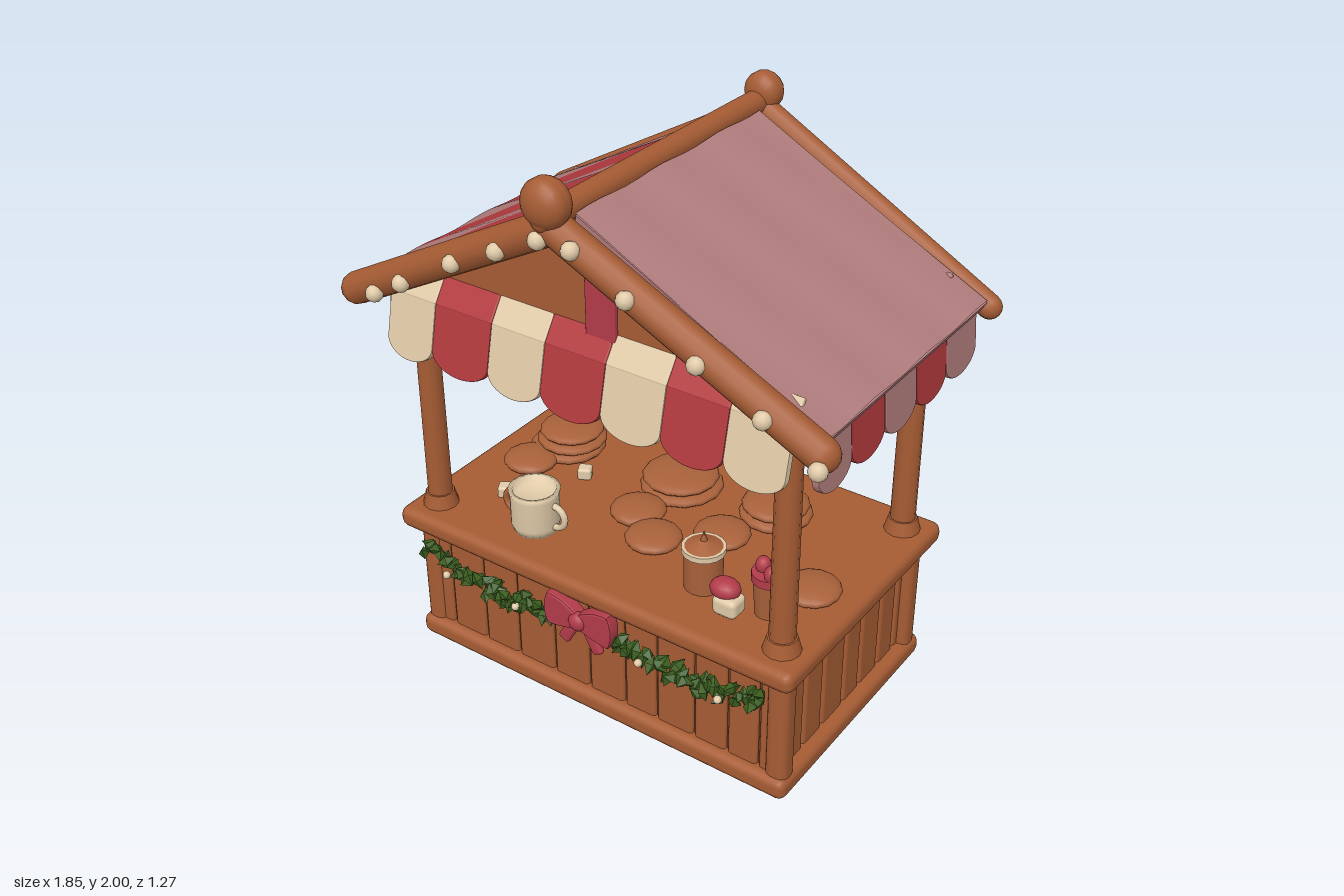
import * as THREE from 'three';
import { RoundedBoxGeometry } from 'three/addons/geometries/RoundedBoxGeometry.js';
import { ParametricGeometry } from 'three/addons/geometries/ParametricGeometry.js';

const paint = (name, color, side = THREE.FrontSide) => {
  const m = new THREE.MeshStandardMaterial({ color, side });
  m.name = name;
  return m;
};

export function createModel() {
  const root = new THREE.Group();
  root.name = 'marketStall';
  const wood = paint('wood', 0xa65c34), gap = paint('plankGap', 0x6b3a20);
  const red = paint('redCloth', 0xb23a3e, THREE.DoubleSide), mauve = paint('mauveCloth', 0xb07c7c, THREE.DoubleSide);
  const cream = paint('cream', 0xe0caa8), ribbon = paint('ribbon', 0xb23c4a);
  const green = paint('leaf', 0x3b5e1f), bread = paint('bread', 0xa8613a);
  let seed = 7;
  const rand = () => (seed = (seed * 16807) % 2147483647) / 2147483647;

  const add = (name, geo, mat, x = 0, y = 0, z = 0, parent = root) => {
    const m = new THREE.Mesh(geo, mat);
    m.name = name;
    m.position.set(x, y, z);
    parent.add(m);
    return m;
  };
  const box = (name, w, h, d, mat, x, y, z, r = 0.015, parent = root) =>
    add(name, new RoundedBoxGeometry(w, h, d, 2, Math.min(r, w / 2.1, h / 2.1, d / 2.1)), mat, x, y, z, parent);
  const ball = (name, r, mat, x, y, z, sx = 1, sy = 1, sz = 1, parent = root) => {
    const m = add(name, new THREE.SphereGeometry(r, 14, 10), mat, x, y, z, parent);
    m.scale.set(sx, sy, sz);
    return m;
  };
  // Round-ended log between two points
  const log = (name, a, b, r, mat = wood) => {
    const p = new THREE.Vector3(...a), q = new THREE.Vector3(...b), d = q.clone().sub(p);
    const m = add(name, new THREE.CapsuleGeometry(r, d.length(), 4, 12), mat);
    m.position.copy(p).add(q).multiplyScalar(0.5);
    m.quaternion.setFromUnitVectors(new THREE.Vector3(0, 1, 0), d.normalize());
    return m;
  };

  // Counter body with planks of uneven width
  const zc = 0.04;
  box('counterCore', 1.42, 0.5, 0.84, gap, 0, 0.27, zc);
  const planks = (cuts, place) => {
    for (let i = 0; i < cuts.length - 1; i++) place((cuts[i] + cuts[i + 1]) / 2, cuts[i + 1] - cuts[i] - 0.008);
  };
  const frontCuts = [-0.7, -0.64, -0.49, -0.34, -0.18, -0.03, 0.12, 0.25, 0.4, 0.53, 0.65, 0.7];
  const sideCuts = [-0.36, -0.3, -0.19, -0.06, 0.05, 0.19, 0.31, 0.4, 0.45];
  for (const s of [1, -1]) {
    planks(frontCuts, (c, w) => box('plank', w, 0.46, 0.03, wood, c, 0.27, zc + s * 0.42));
    planks(sideCuts, (c, w) => box('sidePlank', 0.03, 0.46, w, wood, s * 0.71, 0.27, c));
    box('baseRail', 1.54, 0.08, 0.09, wood, 0, 0.04, zc + s * 0.425, 0.03);
    box('baseSideRail', 0.09, 0.08, 0.94, wood, s * 0.725, 0.04, zc, 0.03);
    box('counterRail', 1.6, 0.08, 0.09, wood, 0, 0.52, zc + s * 0.46, 0.033);
    box('counterSideRail', 0.09, 0.08, 1.01, wood, s * 0.755, 0.52, zc, 0.033);
    // Corner posts with collars
    for (const z of [0.43, -0.35]) {
      add('post', new THREE.CylinderGeometry(0.041, 0.044, 0.96, 12), wood, s * 0.7, 0.98, z);
      box('cornerPost', 0.08, 0.46, 0.08, wood, s * 0.72, 0.27, zc + Math.sign(z) * 0.41, 0.03);
      add('postCollar', new THREE.CylinderGeometry(0.05, 0.066, 0.06, 12), wood, s * 0.7, 0.58, z);
    }
  }
  box('counterTop', 1.54, 0.06, 0.95, wood, 0, 0.53, zc);
  box('floor', 1.48, 0.04, 0.9, wood, 0, 0.024, zc);

  // Gable prism with flat ceiling
  const gable = new THREE.Shape([[-0.81, 1.4], [0.81, 1.4], [-0.02, 1.84]].map(p => new THREE.Vector2(...p)));
  add('gable', new THREE.ExtrudeGeometry(gable, { depth: 0.94, bevelEnabled: false }), wood, 0, 0, -0.47);
  for (const z of [0.475, -0.475]) box('gableBanner', 0.11, 0.37, 0.02, ribbon, 0.065, 1.6, z, 0.004);

  // Roof cloth: one slab each side, with a gently rippled surface
  const slope = (s, t) => [s > 0 ? t * 0.865 : -0.07 - t * 0.8, 1.865 - t * 0.445];
  for (const s of [1, -1]) {
    const [x0, y0] = slope(s, 0), [x1, y1] = slope(s, 1);
    const slab = new THREE.Shape();
    slab.moveTo(x0, y0).lineTo(x1, y1).lineTo(x1 - s * 0.02, y1 - 0.035).lineTo(x0, y0 - 0.035);
    add('roofCloth', new THREE.ExtrudeGeometry(slab, { depth: 0.98, bevelEnabled: false }), mauve, 0, 0, -0.48);
  }
  const sheet = (name, s, mat, za, zb) => add(name, new ParametricGeometry((u, v, p) => {
    const [x, y] = slope(s, u), k = u + 0.06 * Math.sin(u * 9);
    const z = THREE.MathUtils.lerp(za(k), zb(k), v);
    p.set(x, y + 0.007 + 0.004 * Math.sin(z * 19 + u * 3), THREE.MathUtils.clamp(z, -0.48, 0.5));
  }, 24, 16), mat);
  const edge = (ridge, eave) => t => THREE.MathUtils.lerp(ridge, eave, t);
  sheet('roofSheet', 1, mauve, edge(-0.48, -0.48), edge(0.5, 0.5));
  const bounds = [[-0.48, -0.48], [-0.35, -0.3], [-0.18, -0.11], [-0.05, 0.07], [0.11, 0.27], [0.28, 0.43], [0.5, 0.5]];
  for (let i = 0; i < 6; i++)
    sheet('roofStripe', -1, i % 2 ? red : mauve, edge(...bounds[i]), edge(...bounds[i + 1]));

  // Scalloped valances
  const valance = (name, cuts, pale, drop, x, y, z, turn, tilt, collar) => {
    const g = new THREE.Group();
    g.name = name;
    g.position.set(x, y, z);
    g.rotation.y = turn;
    root.add(g);
    for (let i = 0; i < cuts.length - 1; i++) {
      const a = cuts[i], b = cuts[i + 1], mat = i % 2 ? red : pale, arc = 0.065;
      const sh = new THREE.Shape();
      sh.moveTo(b, 0).lineTo(a, 0).lineTo(a, arc - drop);
      sh.absellipse((a + b) / 2, arc - drop, (b - a) / 2, arc, Math.PI, Math.PI * 2, false);
      const geo = new THREE.ExtrudeGeometry(sh, { depth: 0.015, bevelSize: 0.004, bevelThickness: 0.006, bevelOffset: -0.004, bevelSegments: 2, curveSegments: 14 });
      add('scallop', geo, mat, 0, 0, 0, g).rotation.x = tilt;
      if (collar) box('collar', b - a, 0.1, 0.02, mat, (a + b) / 2, 0.035, -0.012, 0.006, g).rotation.x = -0.6;
    }
  };
  const longCuts = [-0.75, -0.56, -0.33, -0.12, 0.11, 0.33, 0.55, 0.76];
  const shortCuts = [-0.47, -0.28, -0.08, 0.12, 0.32, 0.53];
  valance('frontValance', longCuts, cream, 0.225, 0, 1.42, 0.5, 0, -0.22, true);
  valance('backValance', longCuts, mauve, 0.225, 0, 1.42, -0.49, Math.PI, -0.15, true);
  valance('leftValance', shortCuts, mauve, 0.26, 0.785, 1.43, 0, Math.PI / 2, -0.08, false);
  valance('rightValance', shortCuts.map(c => -c).reverse(), mauve, 0.26, -0.785, 1.43, 0, -Math.PI / 2, -0.08, false);

  // Ridge pole, round end knobs and rafters
  log('ridgePole', [-0.05, 1.87, -0.56], [-0.05, 1.87, 0.58], 0.042);
  for (const [z, y, r] of [[0.575, 1.92, 0.08], [-0.58, 1.9, 0.068]]) {
    const knob = box('ridgeKnob', r * 1.1, 0.1, r * 1.1, wood, -0.045, y, z, 0.02);
    knob.geometry = new THREE.CapsuleGeometry(r, 0.02, 6, 16);
    knob.scale.y = 0.7;
    knob.rotation.x = Math.PI / 2;
  }
  for (const s of [1, -1]) {
    log('frontRafter', [-0.04, 1.84, 0.555], [s * 0.87, 1.4, 0.55], 0.055);
    log('backRafter', [-0.04, 1.85, -0.565], [s * 0.86, 1.39, -0.515], 0.042);
  }
  // String of lights along the front rafters
  const bulbs = [[-0.74, 1.44], [-0.62, 1.51], [-0.4, 1.64], [-0.22, 1.73], [-0.06, 1.81], [0.06, 1.81], [0.25, 1.71], [0.49, 1.58], [0.71, 1.48], [0.89, 1.38]];
  for (const [x, y] of bulbs) add('lightBulb', new THREE.IcosahedronGeometry(0.03, 1), cream, x, y, 0.605);

  // Leafy garland in two swags
  for (const [a, b] of [[[-0.69, 0.44], [-0.13, 0.4]], [[0.13, 0.39], [0.69, 0.43]]]) {
    for (let i = 0; i <= 44; i++) {
      const t = i / 44, sag = 0.055 * Math.sin(t * Math.PI);
      const m = add('leaf', new THREE.OctahedronGeometry(0.04, 0), green,
        THREE.MathUtils.lerp(a[0], b[0], t), THREE.MathUtils.lerp(a[1], b[1], t) - sag + (rand() - 0.5) * 0.06, 0.51 + rand() * 0.04);
      m.scale.set(0.9, 0.5, 0.6);
      m.rotation.set(rand() * 3, rand() * 3, rand() * 6);
    }
    for (const t of [0.2, 0.75]) ball('berry', 0.014, cream, THREE.MathUtils.lerp(a[0], b[0], t), 0.37, 0.56);
  }
  // Ribbon bow
  for (const s of [1, -1]) {
    const loop = new THREE.Shape();
    loop.moveTo(0, 0.02).quadraticCurveTo(0.06, 0.07, 0.12, 0.065).quadraticCurveTo(0.145, 0, 0.12, -0.05).quadraticCurveTo(0.06, -0.045, 0, -0.02);
    const m = add('bowLoop', new THREE.ExtrudeGeometry(loop, { depth: 0.03, bevelSize: 0.006, bevelThickness: 0.01, bevelSegments: 2 }), ribbon, 0, 0.43, 0.53);
    if (s < 0) { m.rotation.y = Math.PI; m.position.z = 0.56; }
    box('bowTail', 0.045, 0.12, 0.025, ribbon, s * 0.045, 0.37, 0.545).rotation.z = s * 0.5;
  }
  ball('bowKnot', 0.035, ribbon, 0, 0.43, 0.56, 1, 1, 0.8);

  // Flat loaves: x, z, radius, layers
  const loaves = [[-0.54, -0.1, 0.14, 3], [-0.06, -0.12, 0.15, 2], [0.3, -0.16, 0.13, 2], [0.04, 0.2, 0.1, 1], [0.22, 0.05, 0.1, 1], [0.62, 0.14, 0.1, 1], [-0.6, 0.06, 0.1, 1], [-0.08, 0.1, 0.1, 1]];
  for (const [x, z, r, n] of loaves)
    for (let i = 0; i < n; i++)
      ball('loaf', r * (1 - i * 0.08), bread, x + (rand() - 0.5) * 0.03, 0.58 + i * 0.036, z, 1, 0.03 / r, 1);

  // Mug with a handle, jars and small treats
  const mug = [[0, 0], [0.075, 0], [0.085, 0.03], [0.085, 0.14], [0.09, 0.16], [0.075, 0.16], [0.07, 0.13], [0, 0.13]];
  add('mug', new THREE.LatheGeometry(mug.map(p => new THREE.Vector2(...p)), 20), cream, -0.33, 0.56, 0.36);
  for (const s of [1, -1])
    add('mugHandle', new THREE.TorusGeometry(0.042, 0.012, 8, 16), s > 0 ? cream : bread, -0.33 + s * 0.085, 0.635, 0.36);
  add('jar', new THREE.CylinderGeometry(0.066, 0.066, 0.15, 16), bread, 0.32, 0.635, 0.3);
  add('jarRim', new THREE.CylinderGeometry(0.074, 0.074, 0.02, 16), cream, 0.32, 0.705, 0.3);
  add('jarLid', new THREE.ConeGeometry(0.068, 0.03, 16), bread, 0.32, 0.728, 0.3);
  add('jarTip', new THREE.ConeGeometry(0.016, 0.05, 8), bread, 0.32, 0.75, 0.3);
  add('berryCup', new THREE.CylinderGeometry(0.056, 0.046, 0.14, 16), bread, 0.57, 0.63, 0.3);
  add('berryCupTop', new THREE.CylinderGeometry(0.06, 0.06, 0.03, 16), ribbon, 0.57, 0.705, 0.3);
  for (const [x, z] of [[-0.025, 0], [0.025, 0.03], [0.01, -0.03]]) ball('cupBerry', 0.026, ribbon, 0.57 + x, 0.735, 0.3 + z, 1, 1.2, 1);
  box('sweet', 0.09, 0.07, 0.08, cream, 0.47, 0.6, 0.38, 0.02);
  ball('sweetTop', 0.045, ribbon, 0.45, 0.645, 0.37, 1.2, 0.8, 1);
  for (const [x, z] of [[-0.54, 0.27], [-0.38, 0.02]]) box('sugarCube', 0.05, 0.045, 0.05, cream, x, 0.58, z, 0.01).rotation.y = 0.5;
  return root;
}
